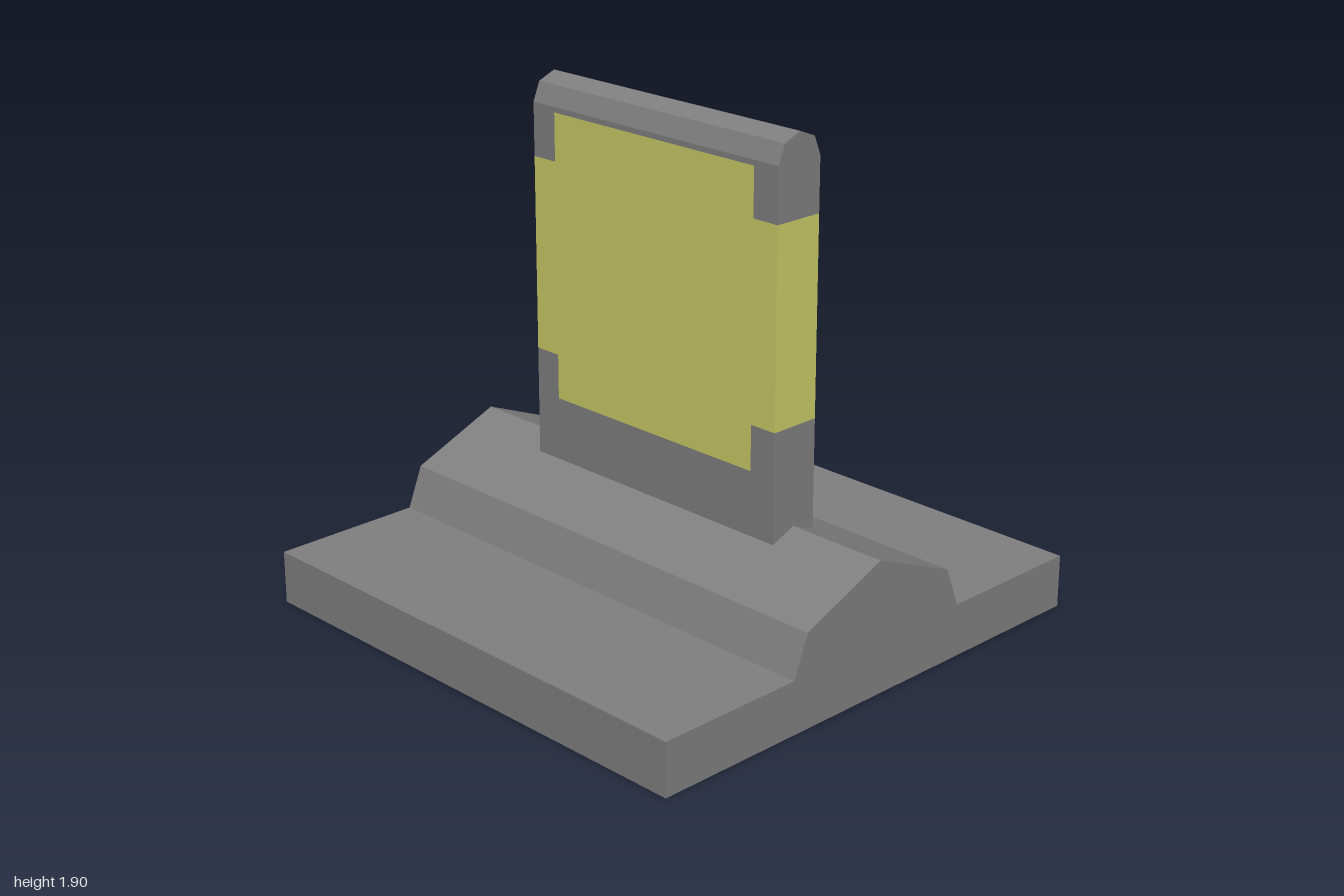
import * as THREE from 'three';

const stone = new THREE.MeshStandardMaterial({ color: 0x808080 });
stone.name = 'grey stone';
const yellow = new THREE.MeshStandardMaterial({ color: 0xcccc68 });
yellow.name = 'yellow panel';

// Extrude an outline by depth, centred on its extrusion axis
function prism(name, points, depth, material, alongX = false) {
  const shape = new THREE.Shape(points.map(([a, b]) => new THREE.Vector2(a, b)));
  const geometry = new THREE.ExtrudeGeometry(shape, { depth, bevelEnabled: false });
  geometry.translate(0, 0, -depth / 2);
  if (alongX) geometry.rotateY(Math.PI / 2);
  const mesh = new THREE.Mesh(geometry, material);
  mesh.name = name;
  return mesh;
}

// Complete a symmetrical outline from its right half
const mirror = (half) => [
  ...half,
  ...half.filter(([a]) => a > 0).reverse().map(([a, b]) => [-a, b]),
];

export function createModel() {
  const group = new THREE.Group();
  group.name = 'slabMonument';

  // Base plate with a faceted ridge running front to back
  group.add(prism('base', mirror([
    [1, 0], [1, 0.2], [0.415, 0.2], [0.354, 0.354], [0, 0.5],
  ]), 2, stone));

  // Upright slab: a yellow stepped core held between two grey brackets
  const W = 0.6, N = 0.49, T = 0.2;
  group.add(prism('panel', mirror([
    [N, 0.7], [N, 0.87], [W, 0.87], [W, 1.6], [N, 1.6], [N, 1.78],
  ]), T, yellow, true));
  group.add(prism('lowerSlab', mirror([
    [W, 0.44], [W, 0.87], [N, 0.87], [N, 0.7],
  ]), T, stone, true));
  group.add(prism('upperSlab', mirror([
    [N, 1.78], [N, 1.6], [W, 1.6], [W, 1.8],
  ]), T, stone, true));

  // Faceted top edge
  group.add(prism('cap', mirror([
    [0.1, 1.8], [0.071, 1.871], [0, 1.9],
  ]), 2 * W, stone));

  return group;
}
